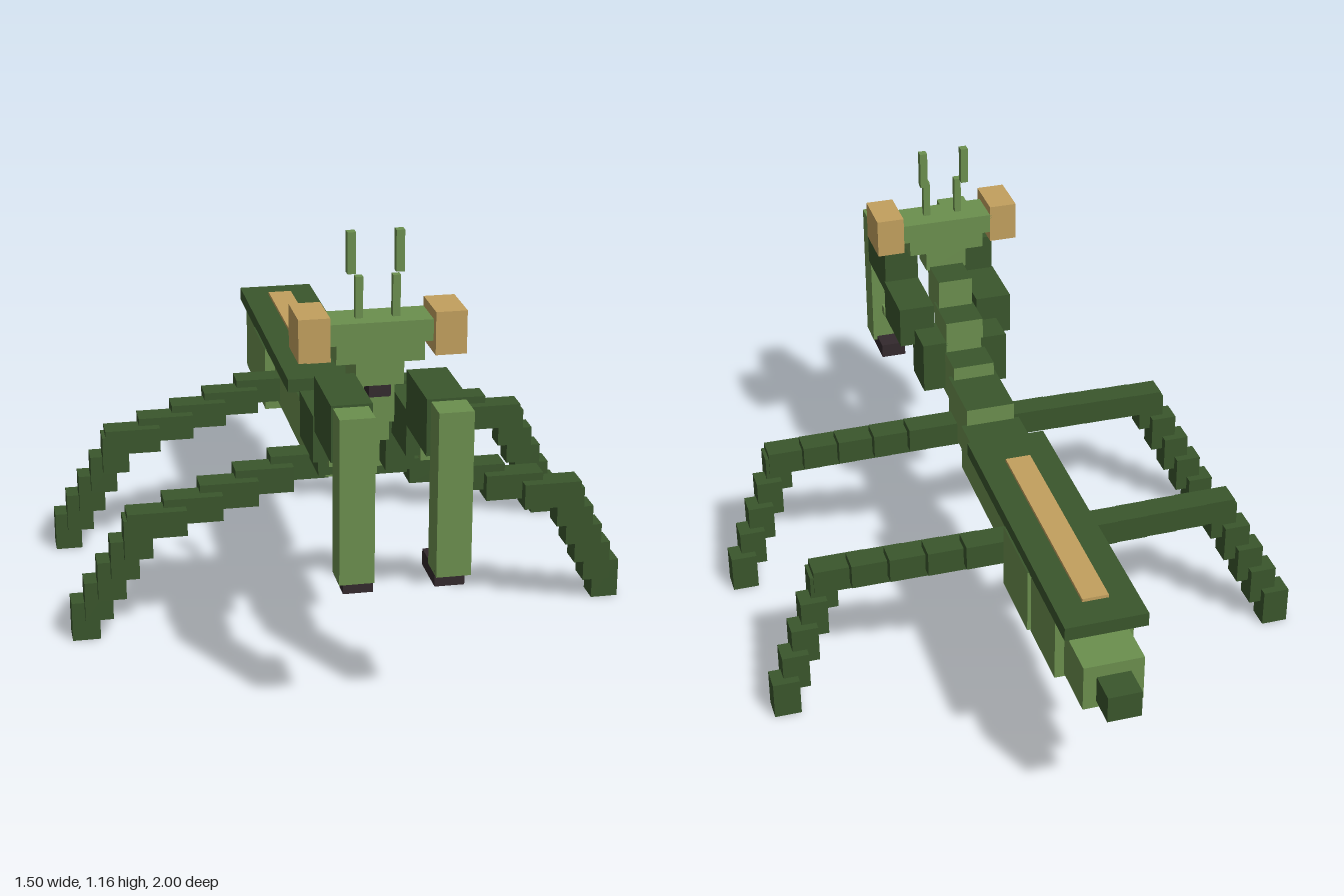
import * as THREE from 'three';

const mat = (name, color) => {
  const m = new THREE.MeshStandardMaterial({ color });
  m.name = name;
  return m;
};

export function createModel() {
  const light = mat('leaf green', 0x6b8f4e);
  const dark = mat('forest green', 0x3a562c);
  const gold = mat('golden tan', 0xc2a05e);
  const brown = mat('dark brown', 0x33292d);
  const darkTop = [light, light, dark, light, light, light]; // dark back, light flanks

  const model = new THREE.Group();
  model.name = 'mantis';

  // Box from its min/max limits on each axis
  const box = (parent, name, material, [x0, x1], [y0, y1], [z0, z1]) => {
    const mesh = new THREE.Mesh(new THREE.BoxGeometry(x1 - x0, y1 - y0, z1 - z0), material);
    mesh.position.set((x0 + x1) / 2, (y0 + y1) / 2, (z0 + z1) / 2);
    mesh.name = name;
    parent.add(mesh);
  };
  // Box centred on x = 0
  const mid = (parent, name, material, w, y, z) => box(parent, name, material, [-w, w], y, z);
  const group = (name) => {
    const g = new THREE.Group();
    g.name = name;
    model.add(g);
    return g;
  };

  // Abdomen, from tail to waist
  const abdomen = group('abdomen');
  mid(abdomen, 'tailTip', dark, 0.045, [0.375, 0.45], [-1, -0.91]);
  mid(abdomen, 'rearSegment', light, 0.08, [0.355, 0.485], [-0.915, -0.76]);
  mid(abdomen, 'middleSegment', darkTop, 0.105, [0.345, 0.52], [-0.765, -0.56]);
  mid(abdomen, 'frontSegment', darkTop, 0.115, [0.35, 0.535], [-0.565, -0.35]);

  // Thorax and rising neck
  const thorax = group('thorax');
  mid(thorax, 'waist', darkTop, 0.085, [0.39, 0.53], [-0.355, 0.165]);
  mid(thorax, 'thoraxBlock', darkTop, 0.07, [0.415, 0.58], [0.16, 0.355]);
  mid(thorax, 'lowerNeck', darkTop, 0.06, [0.485, 0.62], [0.33, 0.475]);
  mid(thorax, 'middleNeck', darkTop, 0.055, [0.59, 0.715], [0.425, 0.56]);
  mid(thorax, 'upperNeck', darkTop, 0.05, [0.67, 0.8], [0.52, 0.64]);

  // Folded wings with a stripe
  const wings = group('wings');
  mid(wings, 'wingCover', dark, 0.11, [0.532, 0.57], [-0.855, 0.015]);
  mid(wings, 'wingStripe', gold, 0.035, [0.57, 0.579], [-0.765, -0.105]);

  // Triangular head in stacked tiers
  const head = group('head');
  mid(head, 'crown', light, 0.135, [0.9, 0.955], [0.6, 0.71]);
  mid(head, 'cheeks', light, 0.11, [0.85, 0.9], [0.612, 0.705]);
  mid(head, 'jaw', light, 0.06, [0.79, 0.85], [0.62, 0.7]);
  mid(head, 'mouth', brown, 0.027, [0.76, 0.79], [0.635, 0.7]);

  for (const side of [-1, 1]) {
    const label = side > 0 ? 'left' : 'right';
    const pair = (parent, name, material, [a, b], y, z) =>
      box(parent, name, material, side > 0 ? [a, b] : [-b, -a], y, z);

    // Eyes and antennae
    pair(head, label + 'Eye', gold, [0.13, 0.208], [0.87, 0.98], [0.6, 0.733]);
    pair(head, label + 'AntennaBase', light, [0.037, 0.056], [0.955, 1.06], [0.65, 0.67]);
    pair(head, label + 'AntennaTip', light, [0.05, 0.071], [1.06, 1.165], [0.622, 0.645]);

    // Grasping foreleg with spines
    const arm = group(label + 'Foreleg');
    pair(arm, 'coxa', dark, [0.05, 0.125], [0.5, 0.652], [0.425, 0.547]);
    pair(arm, 'upperArm', dark, [0.065, 0.168], [0.603, 0.724], [0.525, 0.71]);
    pair(arm, 'forearm', dark, [0.065, 0.165], [0.685, 0.828], [0.705, 0.92]);
    pair(arm, 'blade', light, [0.075, 0.16], [0.405, 0.822], [0.917, 1]);
    pair(arm, 'claw', brown, [0.075, 0.148], [0.375, 0.417], [0.855, 0.985]);
    for (const y of [0.5, 0.605]) pair(arm, 'bladeSpine', light, [0.1, 0.13], [y, y + 0.028], [0.89, 0.92]);
    for (const [y, z] of [[0.655, 0.82], [0.592, 0.69], [0.573, 0.595]])
      pair(arm, 'armSpine', light, [0.1, 0.13], [y, y + 0.1], [z, z + 0.028]);

    // Two walking legs, each a chain of stepped blocks
    for (const [name, dz] of [['FrontLeg', 0], ['BackLeg', -0.6]]) {
      const leg = group(label + name);
      const chain = (part, from, to, size) => {
        for (let i = 0; i < 5; i++) {
          const c = from.map((v, k) => v + (to[k] - v) * i / 4);
          const r = c.map((v, k) => [v - size[k] / 2, v + size[k] / 2]);
          pair(leg, part, dark, r[0], r[1], r[2].map((v) => v + dz));
        }
      };
      chain('thigh', [0.135, 0.439, 0.3], [0.528, 0.355, 0.42], [0.155, 0.07, 0.07]);
      chain('shin', [0.578, 0.318, 0.422], [0.714, 0.054, 0.327], [0.074, 0.108, 0.066]);
    }
  }
  return model;
}
